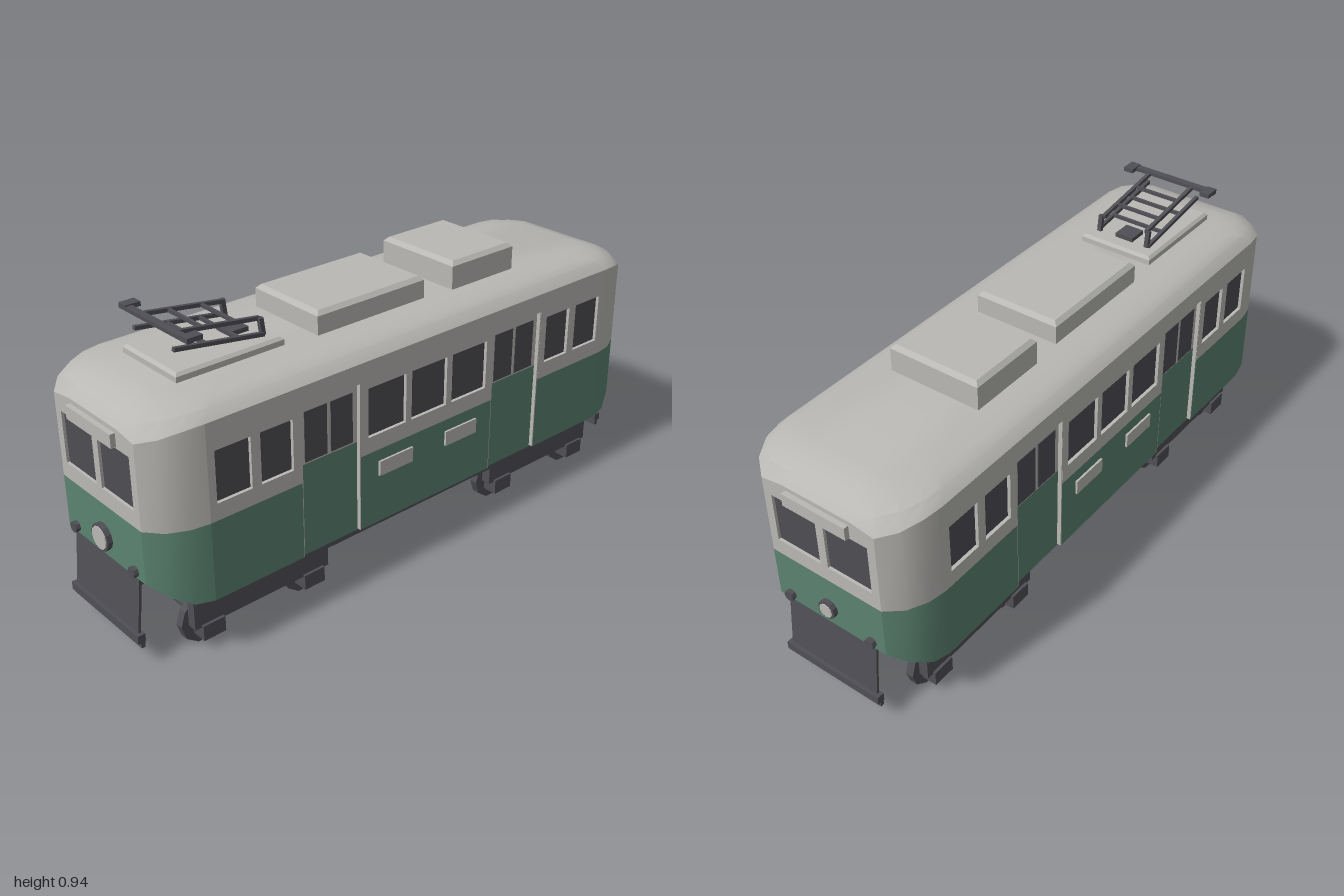
import * as THREE from 'three';
import { toCreasedNormals } from 'three/addons/utils/BufferGeometryUtils.js';

const mat = (name, color) => Object.assign(new THREE.MeshStandardMaterial({ color }), { name });

export function createModel() {
  const cream = mat('cream paint', 0xb9b8b4);
  const green = mat('green paint', 0x5b8371);
  const grey = mat('dark grey metal', 0x504f55);
  const glass = mat('dark glass', 0x4e4d53);
  const black = mat('underbody black', 0x303032);

  const model = new THREE.Group();
  model.name = 'tram';

  const add = (parent, name, geo, material) => {
    const m = new THREE.Mesh(geo, material);
    m.name = name;
    parent.add(m);
    return m;
  };
  // box given by its limits
  const box = (parent, name, material, x0, x1, y0, y1, z0, z1) => {
    const m = add(parent, name, new THREE.BoxGeometry(x1 - x0, y1 - y0, z1 - z0), material);
    m.position.set((x0 + x1) / 2, (y0 + y1) / 2, (z0 + z1) / 2);
    return m;
  };
  // square bar between two points
  const bar = (parent, name, material, a, b, t) => {
    const p = new THREE.Vector3(...a), q = new THREE.Vector3(...b);
    const m = add(parent, name, new THREE.BoxGeometry(t, t, p.distanceTo(q)), material);
    m.position.copy(p).add(q).multiplyScalar(0.5);
    m.lookAt(q);
    return m;
  };
  // skin over closed cross-sections from bottom to top, with optional caps
  const loft = (rings, { skip = [], top = false, bottom = false } = {}) => {
    const pos = [], n = rings[0].length;
    const tri = (...ps) => ps.forEach((p) => pos.push(...p));
    for (let k = 0; k < rings.length - 1; k++) {
      const a = rings[k], b = rings[k + 1];
      for (let i = 0; i < n; i++) {
        if (skip.includes(i)) continue;
        const j = (i + 1) % n;
        tri(a[i], a[j], b[j]);
        tri(a[i], b[j], b[i]);
      }
    }
    const cap = (r, flip) => {
      const c = [0, r[0][1], r.reduce((s, p) => s + p[2], 0) / n];
      for (let i = 0; i < n; i++) {
        const j = (i + 1) % n;
        if (flip) tri(c, r[j], r[i]); else tri(c, r[i], r[j]);
      }
    };
    if (top) cap(rings[rings.length - 1], false);
    if (bottom) cap(rings[0], true);
    const g = new THREE.BufferGeometry();
    g.setAttribute('position', new THREE.Float32BufferAttribute(pos, 3));
    return toCreasedNormals(g, 0.5);
  };

  // ---- body shell: quarter plan as x, z, end factor, extra eave height
  const W = 0.29, L = 0.972;
  const quarter = [[0.12, L, 1, 0.012], [0.2, L, 1, 0], [0.25, 0.93, 0.55, 0], [0.28, 0.87, 0.12, 0], [W, 0.81, 0, 0]];
  const rev = [...quarter].reverse();
  const flip = (list, sx, sz) => list.map(([x, z, e, b]) => [x * sx, z * sz, e, b]);
  const plan = [...quarter, ...flip(rev, 1, -1), ...flip(quarter, -1, -1), ...flip(rev, -1, 1)];
  const ring = (s, dz, y) => plan.map(([x, z, e, b]) => [x * s, y(e, b), Math.sign(z) * (Math.abs(z) - dz)]);
  const sill = ring(1, 0, (e) => 0.205 + 0.08 * e);
  const belt = ring(1, 0, () => 0.455);
  const eave = ring(1, 0, (e, b) => 0.757 - 0.037 * e + b);

  add(model, 'underbody', loft([ring(0.82, 0.1, () => 0.18), sill], { bottom: true }), black);
  add(model, 'lowerBody', loft([sill, belt], { skip: [4, 14] }), green);
  add(model, 'upperCorners', loft([belt, eave], { skip: [0, 4, 8, 9, 10, 14, 18, 19] }), cream);
  add(model, 'roof', loft([eave, ring(0.91, 0.027, (e) => 0.785 - 0.02 * e),
    ring(0.8, 0.065, (e) => 0.797 - 0.01 * e), ring(0.62, 0.13, () => 0.806)], { top: true }), cream);

  // ---- walls with recessed windows
  const T = 0.014;
  const wall = (outline, holes) => {
    const s = new THREE.Shape(outline.map((p) => new THREE.Vector2(...p)));
    for (const [a, b, y0, y1] of holes) {
      s.holes.push(new THREE.Path([[a, y0], [a, y1], [b, y1], [b, y0]].map((p) => new THREE.Vector2(...p))));
    }
    return new THREE.ExtrudeGeometry(s, { depth: T, bevelEnabled: false });
  };
  const Y0 = 0.508, Y1 = 0.669;
  const half = [[0.524, 0.636], [0.668, 0.786], [0.096, 0.246]];
  const sideWindows = [...half, ...half.map(([a, b]) => [-b, -a]), [-0.073, 0.073]];
  const D0 = 0.275, D1 = 0.495, DT = 0.695;

  for (const turn of [0, Math.PI]) {
    const side = new THREE.Group();
    side.name = turn ? 'rightSide' : 'leftSide';
    side.rotation.y = turn;
    model.add(side);
    const outline = [[-0.81, 0.455], [-D1, 0.455], [-D1, DT], [-D0, DT], [-D0, 0.455],
      [D0, 0.455], [D0, DT], [D1, DT], [D1, 0.455], [0.81, 0.455], [0.81, 0.757], [-0.81, 0.757]];
    const geo = wall(outline, sideWindows.map(([a, b]) => [a, b, Y0, Y1]));
    geo.rotateY(Math.PI / 2).translate(W - T, 0, 0);
    add(side, 'upperSideWall', geo, cream);
    for (const [a, b] of [[-0.81, -D1], [-D0, D0], [D1, 0.81]]) {
      box(side, 'lowerSideWall', green, W - T, W, 0.205, 0.455, a, b);
    }
    for (const [a, b] of sideWindows) {
      box(side, 'sideWindow', glass, 0.272, 0.279, Y0 - 0.005, Y1 + 0.005, a - 0.005, b + 0.005);
    }
    for (const s of [-1, 1]) {
      const span = (a, b) => (s > 0 ? [a, b] : [-b, -a]);
      box(side, 'doorLower', green, 0.262, 0.276, 0.2, 0.502, ...span(D0, D1));
      box(side, 'doorUpper', cream, 0.262, 0.276, 0.502, DT, ...span(D0, D1));
      for (const [a, b] of [[0.296, 0.378], [0.392, 0.474]]) {
        box(side, 'doorWindow', glass, 0.272, 0.278, Y0, Y1, ...span(a, b));
      }
      // pale door jambs
      for (const a of [D0, D1 - 0.003]) {
        box(side, 'doorJamb', cream, 0.27, 0.2895, 0.205, DT, ...span(a, a + 0.003));
      }
      box(side, 'sidePlate', cream, W - 0.002, 0.297, 0.367, 0.416, ...span(0.07, 0.205));
    }
  }

  // ---- ends: windows, sign box, lamps, guard
  const disc = (parent, name, material, r, depth, x, y, z, sides = 12) => {
    const g = toCreasedNormals(new THREE.CylinderGeometry(r, r, depth, sides).rotateX(Math.PI / 2), 0.4);
    add(parent, name, g, material).position.set(x, y, z);
  };
  for (const turn of [0, Math.PI]) {
    const end = new THREE.Group();
    end.name = turn ? 'backEnd' : 'frontEnd';
    end.rotation.y = turn;
    model.add(end);
    const outline = [[-0.2, 0.455], [0.2, 0.455], [0.2, 0.72], [0.12, 0.732], [-0.12, 0.732], [-0.2, 0.72]];
    const panes = [[-0.172, -0.014], [0.014, 0.172]];
    const geo = wall(outline, panes.map(([a, b]) => [a, b, 0.507, 0.671]));
    add(end, 'endWall', geo.translate(0, 0, L - T), cream);
    for (const [a, b] of panes) {
      box(end, 'endWindow', glass, a - 0.004, b + 0.004, 0.503, 0.675, 0.956, 0.963);
    }
    box(end, 'signBox', cream, -0.113, 0.113, 0.676, 0.718, L - 0.01, 0.988);
    const r = turn ? 0.03 : 0.043;
    disc(end, 'headlightRim', grey, r, 0.03, 0, 0.347, 0.973);
    disc(end, 'headlightLens', cream, r - 0.007, 0.004, 0, 0.347, 0.989);
    for (const x of [-0.152, 0.152]) disc(end, 'markerLamp', grey, 0.017, 0.03, x, 0.307, 0.972, 8);
    // sloping guard with bottom beam
    const guard = box(end, 'guardPlate', grey, -0.165, 0.165, 0.1, 0.288, 0.97, 0.978);
    guard.position.z = 0.977;
    guard.rotation.x = -0.1;
    box(end, 'guardBeam', grey, -0.177, 0.177, 0.085, 0.112, 0.975, 1.0);
    box(end, 'guardBeamLip', grey, -0.177, 0.177, 0.068, 0.085, 0.978, 0.99);
  }

  // ---- roof boxes with chamfered tops
  const roofBox = (name, w, z0, z1, top, c) => {
    const rect = (i, y) => [[w - i, y, z1 - i], [w - i, y, z0 + i], [-w + i, y, z0 + i], [-w + i, y, z1 - i]];
    add(model, name, loft([rect(0, 0.79), rect(0, top - c), rect(c, top)], { top: true }), cream);
  };
  roofBox('rearRoofBox', 0.157, -0.49, -0.22, 0.895, 0.013);
  roofBox('middleRoofBox', 0.145, -0.11, 0.31, 0.878, 0.013);
  roofBox('collectorBase', 0.13, 0.42, 0.785, 0.832, 0.009);

  // ---- current collector
  const collector = new THREE.Group();
  collector.name = 'currentCollector';
  model.add(collector);
  box(collector, 'collectorFoot', grey, -0.032, 0.032, 0.828, 0.846, 0.47, 0.535);
  for (const s of [-1, 1]) {
    bar(collector, 'lowerArm', grey, [s * 0.095, 0.842, 0.465], [s * 0.095, 0.886, 0.765], 0.012);
    bar(collector, 'armPost', grey, [s * 0.09, 0.838, 0.465], [s * 0.09, 0.892, 0.472], 0.014);
    bar(collector, 'upperArm', grey, [s * 0.082, 0.888, 0.47], [s * 0.082, 0.928, 0.755], 0.012);
    box(collector, 'contactHorn', grey, s * 0.148 - 0.017, s * 0.148 + 0.017, 0.926, 0.94, 0.715, 0.765);
  }
  for (const [z, y, w] of [[0.55, 0.855, 0.095], [0.66, 0.871, 0.095], [0.55, 0.899, 0.082], [0.66, 0.915, 0.082]]) {
    bar(collector, 'crossRung', grey, [-w, y, z], [w, y, z], 0.01);
  }
  box(collector, 'contactBar', grey, -0.165, 0.165, 0.924, 0.936, 0.742, 0.765);

  // ---- running gear
  const wheel = (parent, name, r, h, x, z) => {
    const g = toCreasedNormals(new THREE.CylinderGeometry(r, r, h, 10).rotateZ(Math.PI / 2), 0.3);
    add(parent, name, g, grey).position.set(x, 0.078, z);
  };
  for (const s of [-1, 1]) {
    box(model, 'soleBar', grey, s * 0.213 - 0.017, s * 0.213 + 0.017, 0.145, 0.185, -0.84, 0.84);
    const bogie = new THREE.Group();
    bogie.name = s > 0 ? 'frontBogie' : 'rearBogie';
    bogie.position.z = s * 0.6;
    model.add(bogie);
    for (const x of [-0.213, 0.213]) {
      box(bogie, 'bogieFrame', grey, x - 0.016, x + 0.016, 0.085, 0.18, -0.245, 0.245);
      for (const z of [-0.185, 0.185]) {
        box(bogie, 'axleBox', grey, x - 0.025, x + 0.025, 0.042, 0.092, z - 0.038, z + 0.038);
        wheel(bogie, 'wheelFlange', 0.078, 0.026, Math.sign(x) * 0.173, z);
        wheel(bogie, 'wheelHub', 0.04, 0.02, Math.sign(x) * 0.19, z);
      }
    }
    for (const z of [-0.185, 0.185]) wheel(bogie, 'axle', 0.014, 0.4, 0, z);
    box(bogie, 'bolster', grey, -0.2, 0.2, 0.1, 0.14, -0.03, 0.03);
  }
  return model;
}
